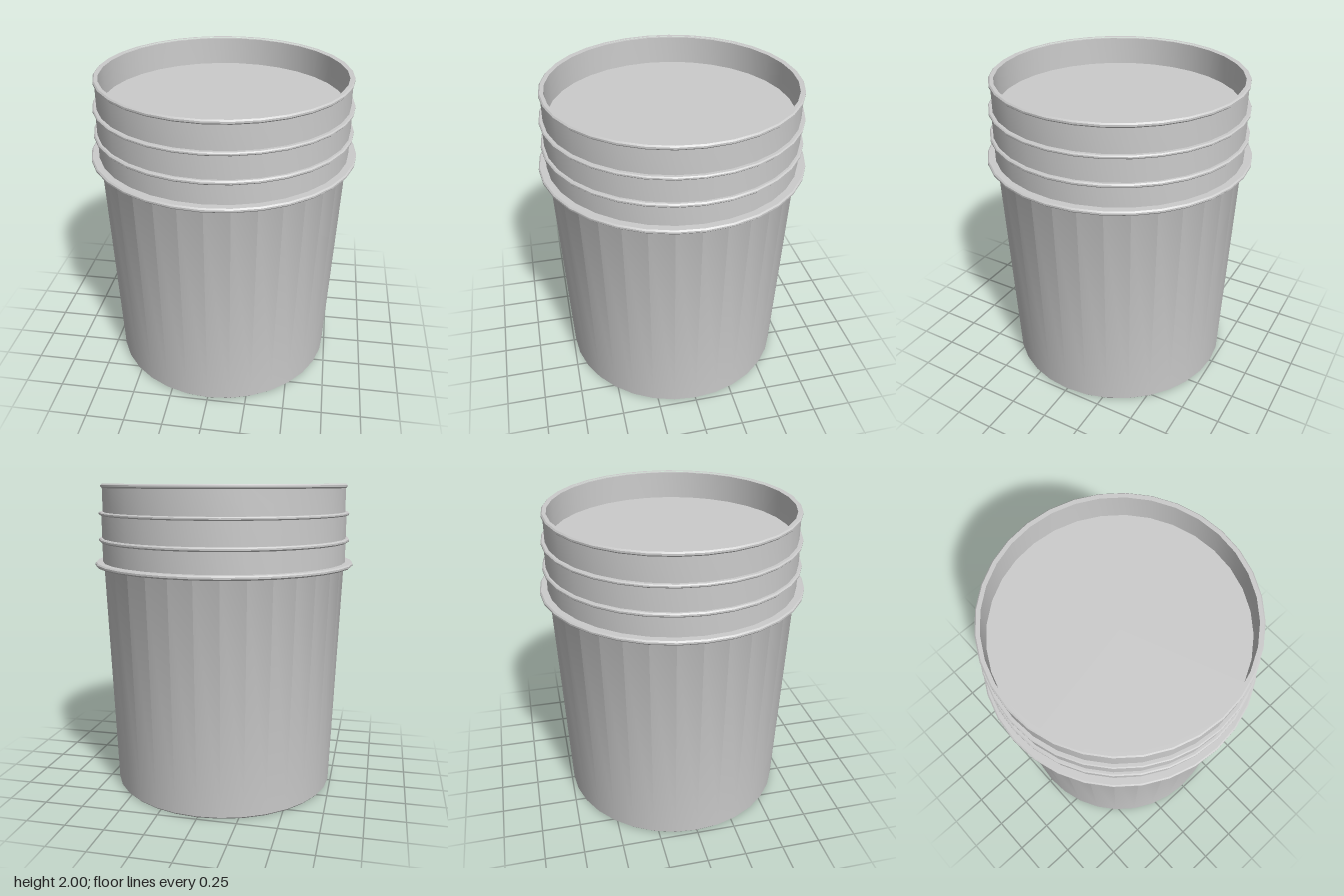
import * as THREE from 'three';
import { toCreasedNormals } from 'three/addons/utils/BufferGeometryUtils.js';

const SIDES = 32;
const material = new THREE.MeshStandardMaterial({ color: 0xcccccc });

// Spins an [r, y] profile round the y axis, keeping sharp edges sharp
function lathe(name, profile) {
  const points = profile.map(([r, y]) => new THREE.Vector2(r, y));
  const geometry = toCreasedNormals(new THREE.LatheGeometry(points, SIDES), 0.6);
  const mesh = new THREE.Mesh(geometry, material);
  mesh.name = name;
  return mesh;
}

// Rounded ring standing out from the wall
function ring(name, inner, outer, bottom, top) {
  const b = (top - bottom) * 0.3;
  return lathe(name, [
    [inner, bottom], [outer - b, bottom], [outer, bottom + b],
    [outer, top - b], [outer - b, top], [inner, top],
  ]);
}

export function createModel() {
  const group = new THREE.Group();
  group.name = 'bucket';

  // Tapered wall: up the outside, over the lip, down the inside to the floor
  group.add(lathe('bucketBody', [
    [0, 0], [0.725, 0], [0.734, 0.01], [0.788, 1.49],
    [0.795, 1.5], [0.795, 1.81], [0.786, 1.82], [0.786, 1.99],
    [0.765, 1.99], [0.76, 1.5], [0.71, 0.03], [0, 0.03],
  ]));

  // Flange, two stiffening rings and the rim bead
  group.add(
    ring('handleFlange', 0.78, 0.845, 1.48, 1.507),
    ring('lowerRing', 0.78, 0.816, 1.635, 1.66),
    ring('upperRing', 0.78, 0.811, 1.804, 1.825),
    ring('rimBead', 0.765, 0.795, 1.973, 2),
  );

  // Flat surface of the contents, just below the rim
  const contents = new THREE.Mesh(new THREE.CircleGeometry(0.775, SIDES), material);
  contents.name = 'contentsSurface';
  contents.rotation.x = -Math.PI / 2;
  contents.position.y = 1.812;
  group.add(contents);

  return group;
}
